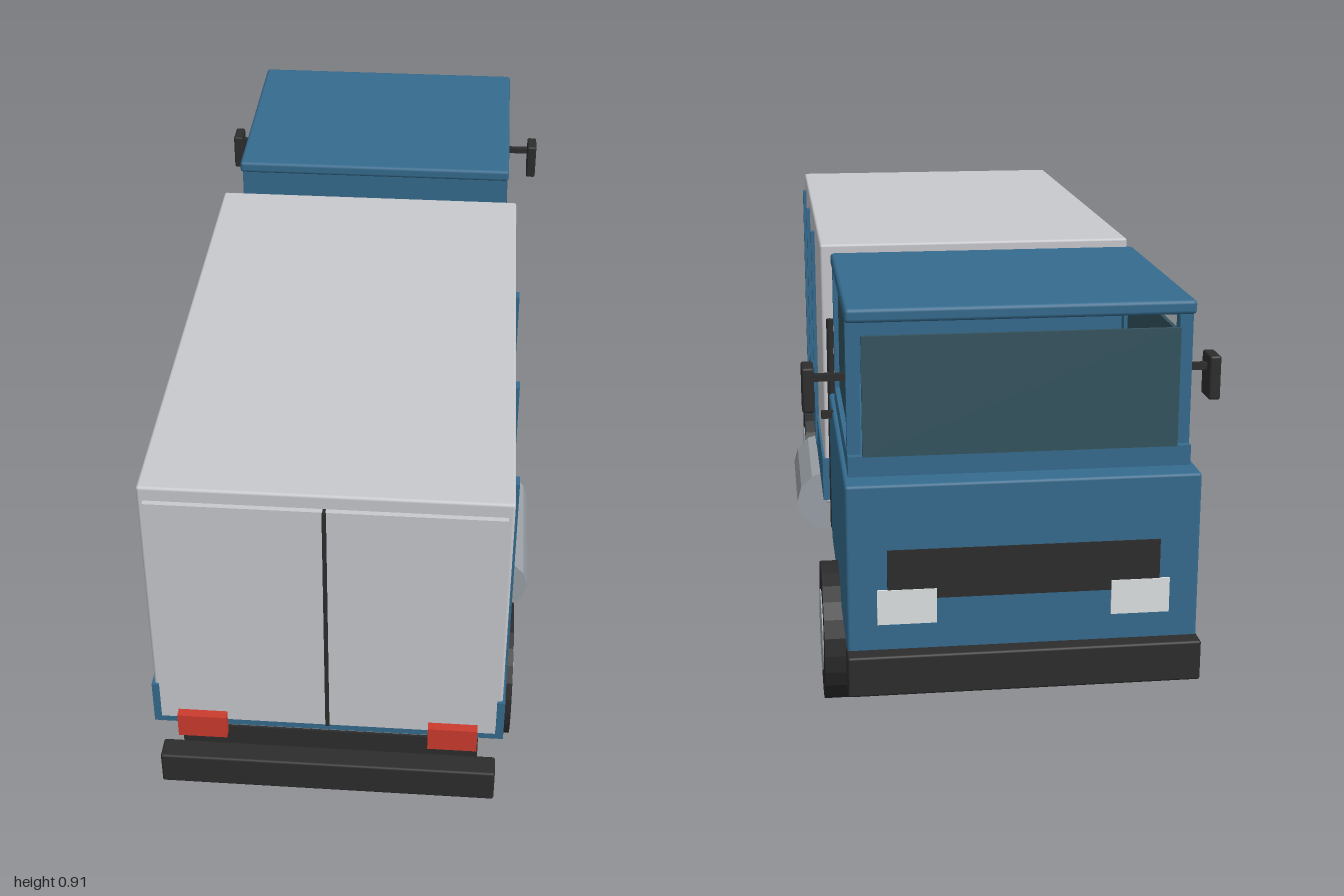
import * as THREE from 'three';
import { RoundedBoxGeometry } from 'three/addons/geometries/RoundedBoxGeometry.js';

const mat = (name, color, flatShading = false) => {
  const m = new THREE.MeshStandardMaterial({ color, flatShading });
  m.name = name;
  return m;
};

export function createModel() {
  const truck = new THREE.Group();
  truck.name = 'boxTruck';

  const blue = mat('bluePaint', 0x356b8e);
  const grey = mat('cargoGrey', 0xc8c9cd);
  const dark = mat('darkTrim', 0x2d2d2e);
  const tyreMat = mat('tyreRubber', 0x2b2b2b, true);
  const metal = mat('metal', 0x9ba1a8, true);
  const glass = mat('glass', 0x34545f);
  const red = mat('redLamp', 0xcc3b2e);
  const white = mat('headlightWhite', 0xdfe2e4);

  const add = (name, geometry, material, x, y, z) => {
    const mesh = new THREE.Mesh(geometry, material);
    mesh.name = name;
    mesh.position.set(x, y, z);
    truck.add(mesh);
    return mesh;
  };
  // Box given by its limits on each axis, with optional rounded edges
  const box = (name, material, [x0, x1], [y0, y1], [z0, z1], r = 0) => {
    const size = [x1 - x0, y1 - y0, z1 - z0];
    const geometry = r ? new RoundedBoxGeometry(...size, 2, r) : new THREE.BoxGeometry(...size);
    return add(name, geometry, material, (x0 + x1) / 2, (y0 + y1) / 2, (z0 + z1) / 2);
  };
  // Same box on the left (+x) and right (-x)
  const pair = (name, material, [x0, x1], y, z, r) => {
    box(name + 'Left', material, [x0, x1], y, z, r);
    box(name + 'Right', material, [-x1, -x0], y, z, r);
  };
  // Cylinder lying along x
  const axle = (name, material, r, width, sides, x, y, z) =>
    add(name, new THREE.CylinderGeometry(r, r, width, sides).rotateZ(Math.PI / 2), material, x, y, z);

  // Chassis and bumpers
  box('chassis', dark, [-0.308, 0.308], [0.18, 0.255], [-0.945, 0.93]);
  box('rearBumper', dark, [-0.345, 0.345], [0.155, 0.23], [0.95, 1], 0.005);
  box('frontBumper', dark, [-0.345, 0.345], [0.165, 0.247], [-1, -0.94], 0.005);

  // Wheels
  for (const side of [1, -1]) {
    for (const z of [0.6, -0.62]) {
      axle('tyre', tyreMat, 0.146, 0.105, 24, side * 0.328, 0.146, z);
      axle('hub', metal, 0.086, 0.108, 24, side * 0.329, 0.146, z);
    }
  }

  // Fuel tank on the left
  add('fuelTank', new THREE.CylinderGeometry(0.075, 0.075, 0.335, 12).rotateY(Math.PI / 2).rotateX(Math.PI / 2),
    metal, 0.34, 0.203, 0.218);

  // Cargo body with lower band, side posts and rear doors
  box('cargoBox', grey, [-0.353, 0.353], [0.285, 0.9], [-0.205, 0.957], 0.006);
  box('cargoBand', blue, [-0.358, 0.358], [0.295, 0.315], [-0.21, 0.962]);
  pair('bandSide', blue, [0.342, 0.358], [0.295, 0.396], [-0.21, 0.962]);
  box('bandFront', blue, [-0.358, 0.358], [0.295, 0.396], [-0.21, -0.2]);
  for (const z of [0.84, 0.52, 0.166]) pair('sidePost', blue, [0.34, 0.362], [0.32, 0.867], [z - 0.013, z + 0.013]);
  pair('rearDoor', grey, [0.003, 0.341], [0.315, 0.87], [0.95, 0.968]);
  box('doorSeam', dark, [-0.004, 0.004], [0.315, 0.87], [0.95, 0.972]);
  pair('tailLight', red, [0.205, 0.305], [0.281, 0.337], [0.965, 0.987]);

  // Lower cab
  box('cabBody', blue, [-0.343, 0.343], [0.235, 0.58], [-0.965, -0.3], 0.006);
  box('windowSill', blue, [-0.333, 0.333], [0.575, 0.62], [-0.91, -0.358]);

  // Upper cab: rear wall, pillars, glass and roof
  box('cabRearWall', blue, [-0.328, 0.328], [0.6, 0.878], [-0.377, -0.36]);
  for (const z of [-0.388, -0.88]) pair('pillar', blue, [0.307, 0.333], [0.6, 0.882], [z - 0.014, z + 0.014]);
  pair('sideWindow', glass, [0.315, 0.323], [0.62, 0.832], [-0.867, -0.402]);
  box('windshield', glass, [-0.305, 0.305], [0.62, 0.855], [-0.914, -0.906]);
  box('roof', blue, [-0.335, 0.335], [0.88, 0.908], [-0.915, -0.345], 0.008);

  // Front face: grille and headlights
  box('grille', dark, [-0.265, 0.265], [0.35, 0.45], [-0.968, -0.96]);
  pair('headlight', white, [0.17, 0.285], [0.3, 0.37], [-0.97, -0.961]);

  // Mirrors, door handles and exhaust stacks
  pair('mirrorArm', dark, [0.325, 0.395], [0.74, 0.754], [-0.797, -0.783]);
  pair('mirror', dark, [0.39, 0.414], [0.682, 0.772], [-0.817, -0.756], 0.005);
  pair('doorHandle', dark, [0.34, 0.366], [0.564, 0.58], [-0.452, -0.438]);
  for (const side of [1, -1]) {
    add('exhaustStack', new THREE.CylinderGeometry(0.008, 0.008, 0.49, 10), dark, side * 0.338, 0.505, -0.299);
  }

  return truck;
}
